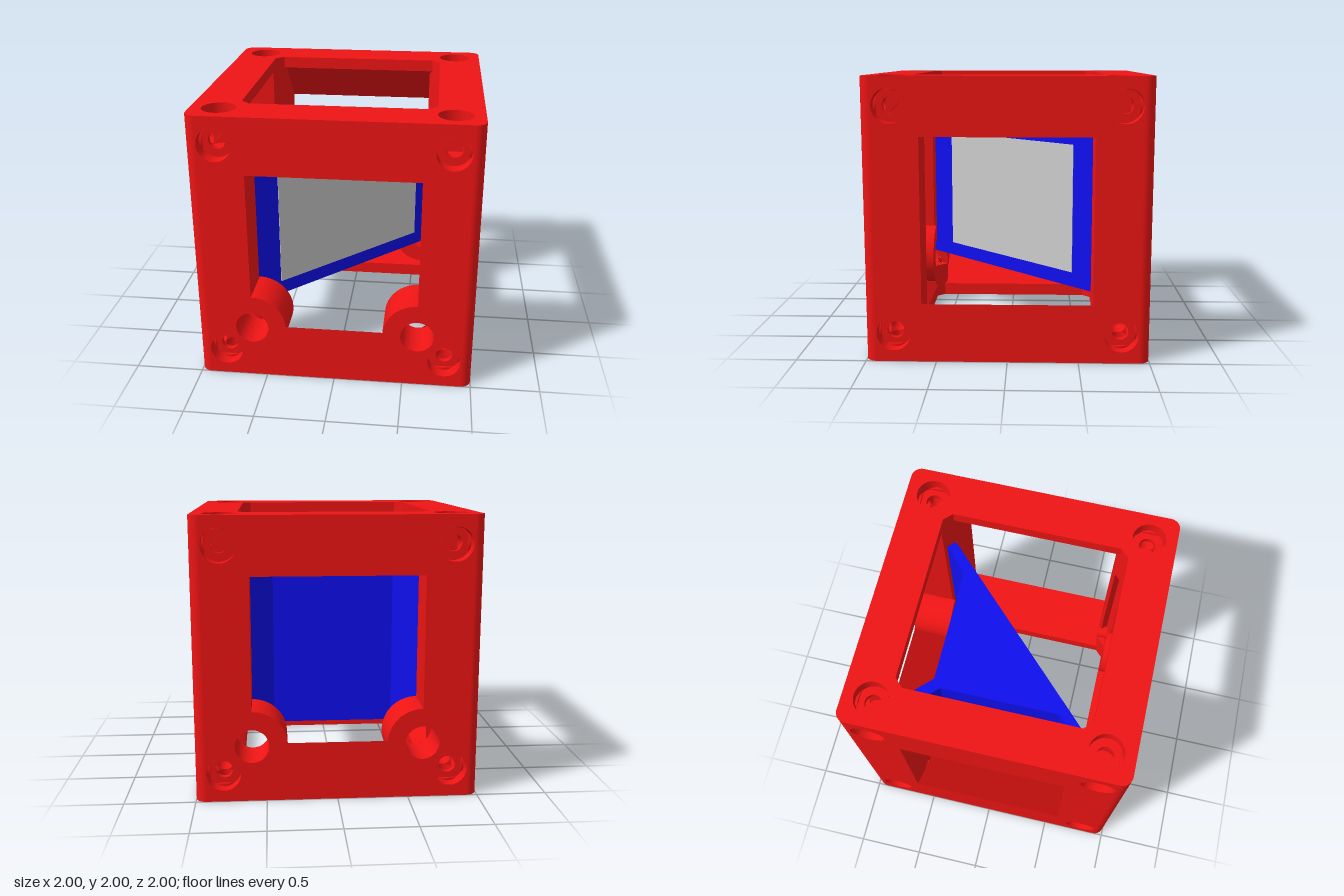
import * as THREE from 'three';

const red = new THREE.MeshStandardMaterial({ color: 0xee1414, side: THREE.DoubleSide });
const blue = new THREE.MeshStandardMaterial({ color: 0x0f0fee });
const grey = new THREE.MeshStandardMaterial({ color: 0xcccccc });
const V = (x, y, z) => new THREE.Vector3(x, y, z);

const R = 0.075;            // rounded vertical edges
const LOW = 0.42, HIGH = 1.59; // window sill and head
const WIN = 0.6, CAV = 0.68;   // half widths of side windows and cavity

function add(parent, name, geometry, material = red) {
  const mesh = new THREE.Mesh(geometry, material);
  mesh.name = name;
  parent.add(mesh);
  return mesh;
}

const poly = (pts) => new THREE.Shape(pts.map(([x, y]) => new THREE.Vector2(x, y)));
const rect = (x0, y0, x1, y1) => poly([[x0, y0], [x1, y0], [x1, y1], [x0, y1]]);
const circle = (x, y, r) => new THREE.Path().absarc(x, y, r, 0, Math.PI * 2, true);

// Flat panel: a 2D shape laid out from an origin along directions u and v
function panel(parent, name, shape, origin, u, v) {
  const m = new THREE.Matrix4().makeBasis(u, v, u.clone().cross(v).normalize()).setPosition(origin);
  return add(parent, name, new THREE.ShapeGeometry(shape, 24).applyMatrix4(m));
}

// Tube along z from z0 to z1
function tube(parent, name, r, z0, z1, start = 0, sweep = Math.PI * 2) {
  const g = new THREE.CylinderGeometry(r, r, z1 - z0, 32, 1, true, start, sweep);
  g.rotateX(Math.PI / 2).translate(0, 0, (z0 + z1) / 2);
  return add(parent, name, g);
}

// Counterbored screw hole, opening towards local +z
function screwHole(parent, position, rotX, through, capped) {
  const g = new THREE.Group();
  g.name = 'screwHole';
  g.position.copy(position);
  g.rotation.x = rotX;
  tube(g, 'counterbore', 0.12, -0.1, 0);
  add(g, 'counterboreSeat', new THREE.RingGeometry(0.06, 0.12, 32)).position.z = -0.1;
  tube(g, 'bore', 0.06, -0.14, -0.1);
  if (through) tube(g, 'innerBore', 0.06, -0.4, -0.26);
  if (capped) add(g, 'boreEnd', new THREE.CircleGeometry(0.08, 24)).position.z = -0.28;
  parent.add(g);
}

// Outer face of one side with its window
function sideFace(hasBosses) {
  const face = rect(-1 + R, 0, 1 - R, 2);
  const win = new THREE.Path();
  win.moveTo(-WIN, HIGH);
  if (hasBosses) {
    win.lineTo(-WIN, 0.65);
    win.absarc(-WIN, 0.4, 0.25, Math.PI / 2, 0.08, true);
    win.absarc(WIN, 0.4, 0.25, Math.PI - 0.08, Math.PI / 2, true);
    face.holes.push(circle(-WIN, 0.4, 0.12), circle(WIN, 0.4, 0.12));
  } else {
    win.lineTo(-WIN, LOW);
    win.lineTo(WIN, LOW);
  }
  win.lineTo(WIN, HIGH);
  win.closePath();
  face.holes.push(win);
  for (const x of [-0.8, 0.8]) for (const y of [0.2, 1.8]) face.holes.push(circle(x, y, 0.12));
  return face;
}

// Corner post at +x +z: two window cheeks and a slotted chamfer
function post(parent, bossOnX) {
  const cheek = (gap) => {
    const s = rect(0.7, 0, 1, 2);
    s.holes.push(circle(0.8, 0.2, 0.06));
    if (gap) s.holes.push(rect(0.702, 0.28, 0.998, 0.52));
    return s;
  };
  panel(parent, 'postCheek', cheek(bossOnX), V(0.6, 0, 0), V(0, 0, 1), V(0, 1, 0));
  panel(parent, 'postCheek', cheek(!bossOnX), V(0, 0, 0.6), V(1, 0, 0), V(0, 1, 0));
  const d = Math.SQRT1_2, along = V(d, 0, -d), inward = V(d, 0, d), up = V(0, 1, 0), mid = V(0.65, 0, 0.65);
  const w = 0.0707, s = 0.042, depth = 0.06;
  for (const [x0, y0, x1, y1] of [[-w, 0, w, 0.28], [-w, HIGH, w, 2], [-w, 0.52, -s, HIGH], [s, 0.52, w, HIGH]])
    panel(parent, 'postChamfer', rect(x0, y0, x1, y1), mid, along, up);
  const floor = mid.clone().addScaledVector(inward, depth);
  panel(parent, 'slotFloor', rect(-s, 0.52, s, HIGH), floor, along, up);
  for (const k of [-s, s])
    panel(parent, 'slotWall', rect(0, 0.52, depth, HIGH), mid.clone().addScaledVector(along, k), inward, up);
}

// Boss around a cross hole, on the inner side of a post
function boss(parent, sx) {
  const g = new THREE.Group();
  g.name = 'boss';
  g.position.set(sx * WIN, 0.4, 0);
  tube(g, 'bossWall', 0.25, CAV, 1, sx > 0 ? Math.PI : 0, Math.PI);
  tube(g, 'bossBore', 0.12, CAV, 1);
  const start = sx > 0 ? Math.PI / 3 : -Math.PI * 2 / 3;
  add(g, 'bossEnd', new THREE.RingGeometry(0.12, 0.25, 40, 1, start, Math.PI * 4 / 3)).position.z = CAV;
  parent.add(g);
}

function side(k) {
  const g = new THREE.Group();
  g.name = 'frameSide';
  g.rotation.y = k * Math.PI / 2;
  const bosses = k % 2 === 0;
  panel(g, 'sideFace', sideFace(bosses), V(0, 0, 1), V(1, 0, 0), V(0, 1, 0));

  // bottom and top rails: short upright lip, then a 45 degree slope out to the window edge
  const L = 0.62, h = 0.32;
  const notched = poly([[-L, 0], [L, 0], [L, 0.18], [0.48, 0.18], [0.48, h], [-0.48, h], [-0.48, 0.18], [-L, 0.18]]);
  panel(g, 'bottomRailSlope', bosses ? notched : rect(-L, 0, L, h), V(0, 0.1, CAV), V(1, 0, 0), V(0, 1, 1));
  panel(g, 'bottomRailLip', rect(-L, 0, L, 0.1), V(0, 0, CAV), V(1, 0, 0), V(0, 1, 0));
  panel(g, 'topRailSlope', rect(-L, 0, L, h), V(0, 1.91, CAV), V(1, 0, 0), V(0, -1, 1));
  panel(g, 'topRailLip', rect(-L, 1.91, L, 2), V(0, 0, CAV), V(1, 0, 0), V(0, 1, 0));

  const edge = new THREE.CylinderGeometry(R, R, 2, 10, 1, true, 0, Math.PI / 2);
  add(g, 'roundedEdge', edge.translate(1 - R, 1, 1 - R));
  post(g, bosses);
  for (const x of [-0.8, 0.8])
    for (const y of [0.2, 1.8]) screwHole(g, V(x, y, 1), 0, y < 1, false);
  if (bosses) for (const sx of [-1, 1]) boss(g, sx);
  return g;
}

// Square ring closing the frame at the top or bottom
function endFace(parent, y) {
  const s = new THREE.Shape();
  const c = 1 - R, q = Math.PI / 2;
  [[c, c], [-c, c], [-c, -c], [c, -c]].forEach(([x, z], i) => s.absarc(x, z, R, i * q, (i + 1) * q, false));
  const a = CAV, b = 0.62;
  s.holes.push(poly([[a, b], [b, a], [-b, a], [-a, b], [-a, -b], [-b, -a], [b, -a], [a, -b]]));
  for (const x of [-0.8, 0.8])
    for (const z of [-0.8, 0.8]) {
      s.holes.push(circle(x, z, 0.12));
      screwHole(parent, V(x, y, z), y > 1 ? -q : q, false, true);
    }
  panel(parent, y > 1 ? 'topFace' : 'bottomFace', s, V(0, y, 0), V(1, 0, 0), V(0, 0, y > 1 ? -1 : 1));
}

export function createModel() {
  const model = new THREE.Group();
  const frame = new THREE.Group();
  frame.name = 'cubeFrame';
  for (let k = 0; k < 4; k++) frame.add(side(k));
  endFace(frame, 0);
  endFace(frame, 2);
  model.add(frame);

  // diagonal holder with a triangular body and a rear fin (plan drawn as x, -z)
  const plan = [[0.7, -0.65], [-0.65, 0.7], [-0.7, 0.64], [-0.5, 0.44], [-0.5, -0.44],
    [-0.7, -0.64], [-0.64, -0.7], [-0.44, -0.5], [0.44, -0.5], [0.64, -0.7]];
  const holder = new THREE.ExtrudeGeometry(poly(plan.map(([x, z]) => [x, -z])), { depth: HIGH - LOW, bevelEnabled: false });
  add(model, 'mirrorHolder', holder.rotateX(-Math.PI / 2).translate(0, LOW, 0), blue);

  // mirror plate on the diagonal face
  const mirror = add(model, 'mirror', new THREE.BoxGeometry(1.4, 0.96, 0.02), grey);
  mirror.position.set(0.021, 1.01, 0.021);
  mirror.rotation.y = Math.PI / 4;
  return model;
}
